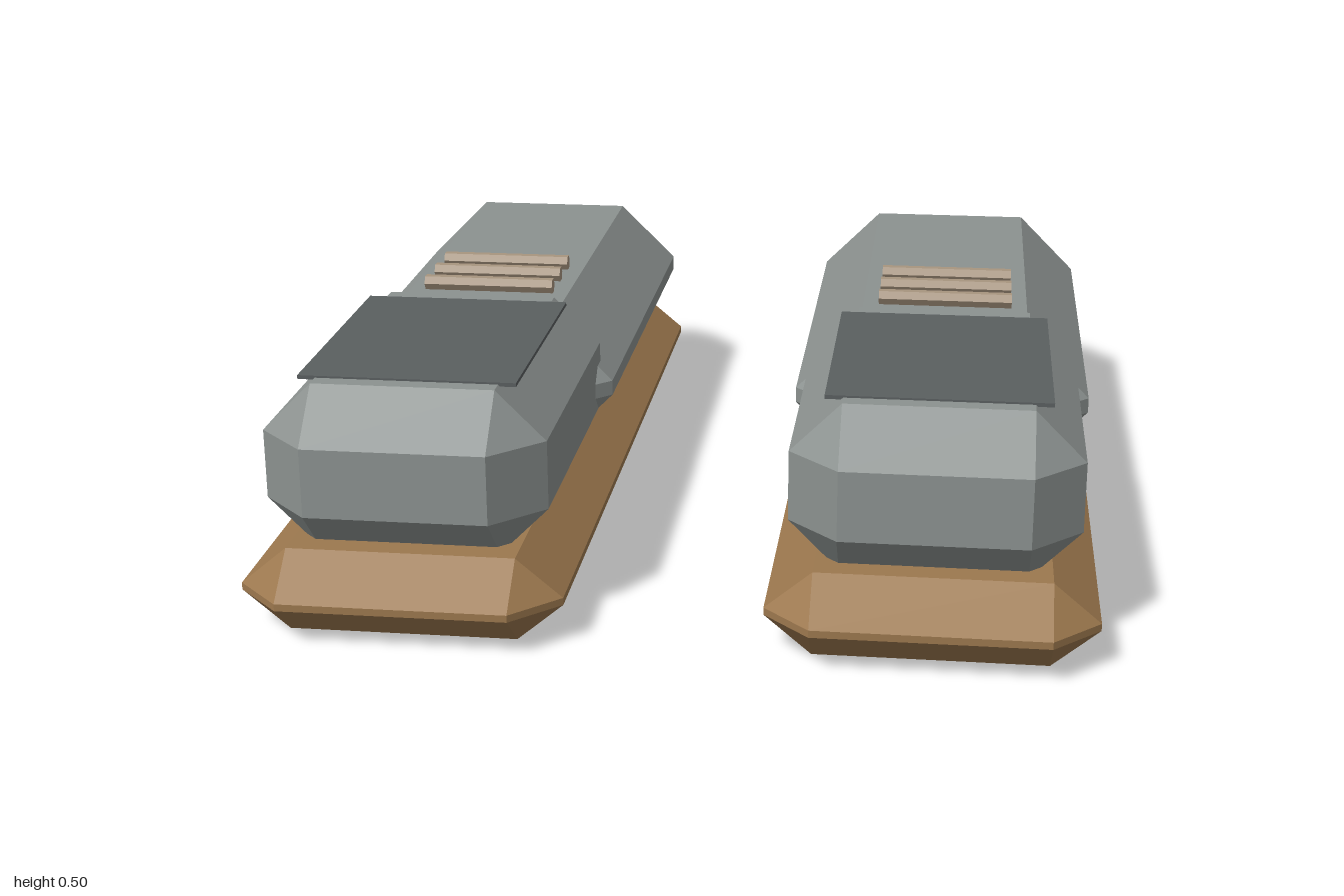
import * as THREE from 'three';
import { ConvexGeometry } from 'three/addons/geometries/ConvexGeometry.js';

const material = (name, color) => {
  const m = new THREE.MeshStandardMaterial({ color });
  m.name = name;
  return m;
};

// Box with all edges cut flat; b is the horizontal cut, by the vertical one
function chamferBox(w, h, d, b, by = b) {
  const X = w / 2, Y = h / 2, Z = d / 2, points = [];
  for (const sx of [-1, 1]) for (const sy of [-1, 1]) for (const sz of [-1, 1]) {
    points.push(
      new THREE.Vector3(sx * X, sy * (Y - by), sz * (Z - b)),
      new THREE.Vector3(sx * (X - b), sy * Y, sz * (Z - b)),
      new THREE.Vector3(sx * (X - b), sy * (Y - by), sz * Z));
  }
  return new ConvexGeometry(points);
}

export function createModel() {
  const leather = material('grey upper', 0x8c9290);
  const plate = material('dark plate', 0x5a5f60);
  const rubber = material('brown sole', 0x9c784e);
  const cord = material('tan lace', 0xa8957f);
  const model = new THREE.Group();
  model.name = 'pairOfShoes';

  for (const [name, side] of [['left', 1], ['right', -1]]) {
    const shoe = new THREE.Group();
    shoe.name = name + 'Shoe';
    shoe.position.x = side * 0.527;
    const add = (part, geometry, mat, y, z) => {
      const mesh = new THREE.Mesh(geometry, mat);
      mesh.name = part;
      mesh.position.set(0, y, z);
      shoe.add(mesh);
      return mesh;
    };

    // Sole, long rear upper and taller toe block
    add('sole', chamferBox(0.656, 0.175, 2, 0.095, 0.08), rubber, 0.0875, 0);
    add('upper', chamferBox(0.642, 0.305, 1.31, 0.136), leather, 0.3025, -0.295);
    add('toeCap', chamferBox(0.576, 0.348, 0.845, 0.102), leather, 0.324, 0.5075);

    // Thin plate on top of the toe
    add('toePlate', new THREE.BoxGeometry(0.444, 0.008, 0.558), plate, 0.498, 0.514);

    // Laces across the instep
    for (const z of [0.01, -0.09, -0.19]) {
      const geometry = new THREE.CylinderGeometry(0.018, 0.018, 0.3, 6).toNonIndexed();
      geometry.computeVertexNormals();
      add('lace', geometry, cord, 0.472, z).rotation.z = Math.PI / 2;
    }
    model.add(shoe);
  }
  return model;
}
